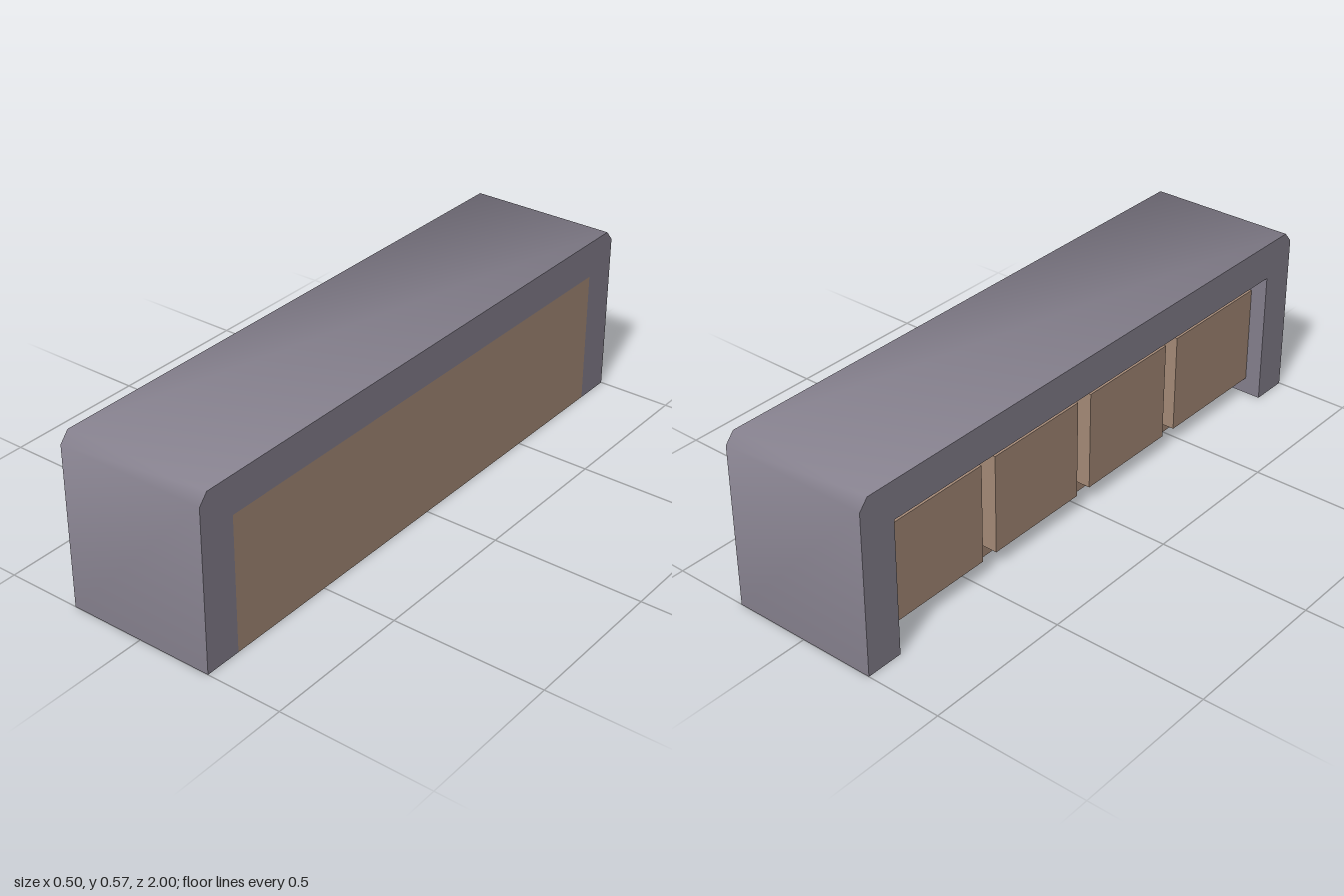
import * as THREE from 'three';
import { toCreasedNormals } from 'three/addons/utils/BufferGeometryUtils.js';

const HALF_W = 0.25, H = 0.573;
const INNER_Z = 0.875, INNER_Y = 0.45;
const BODY_X = -0.13, DRAWER_X = -0.195;

export function createModel() {
  const group = new THREE.Group();
  const grey = new THREE.MeshStandardMaterial({ name: 'greyShell', color: 0x85808d });
  const brown = new THREE.MeshStandardMaterial({ name: 'brownWood', color: 0xa58a77 });

  // Box given by its minimum and maximum corners
  function addBox(name, x0, x1, y0, y1, z0, z1, material) {
    const geometry = new THREE.BoxGeometry(x1 - x0, y1 - y0, z1 - z0);
    const mesh = new THREE.Mesh(geometry, material);
    mesh.position.set((x0 + x1) / 2, (y0 + y1) / 2, (z0 + z1) / 2);
    mesh.name = name;
    group.add(mesh);
  }

  // Shell: an arch with bevelled upper corners, softly shaded over the bevels
  const arch = new THREE.Shape([
    [-1, 0], [-INNER_Z, 0], [-INNER_Z, INNER_Y], [INNER_Z, INNER_Y], [INNER_Z, 0],
    [1, 0], [1, H - 0.035], [0.97, H], [-0.97, H], [-1, H - 0.035],
  ].map(([z, y]) => new THREE.Vector2(z, y)));
  let shellGeometry = new THREE.ExtrudeGeometry(arch, { depth: 2 * HALF_W, bevelEnabled: false });
  shellGeometry.rotateY(-Math.PI / 2).translate(HALF_W, 0, 0);
  shellGeometry = toCreasedNormals(shellGeometry, 1.05);
  const shell = new THREE.Mesh(shellGeometry, grey);
  shell.name = 'shell';
  group.add(shell);

  // Cabinet body, flush with the shell on one side and set back on the other
  addBox('cabinetBody', BODY_X, HALF_W, 0, INNER_Y, -INNER_Z, INNER_Z, brown);

  // Four drawer fronts, the outer two slightly wider
  for (const side of [-1, 1]) {
    for (const [a, b] of [[0.03, 0.406], [0.464, INNER_Z]]) {
      const [z0, z1] = side > 0 ? [a, b] : [-b, -a];
      addBox('drawerFront', DRAWER_X, BODY_X, 0.056, 0.388, z0, z1, brown);
    }
  }
  return group;
}
